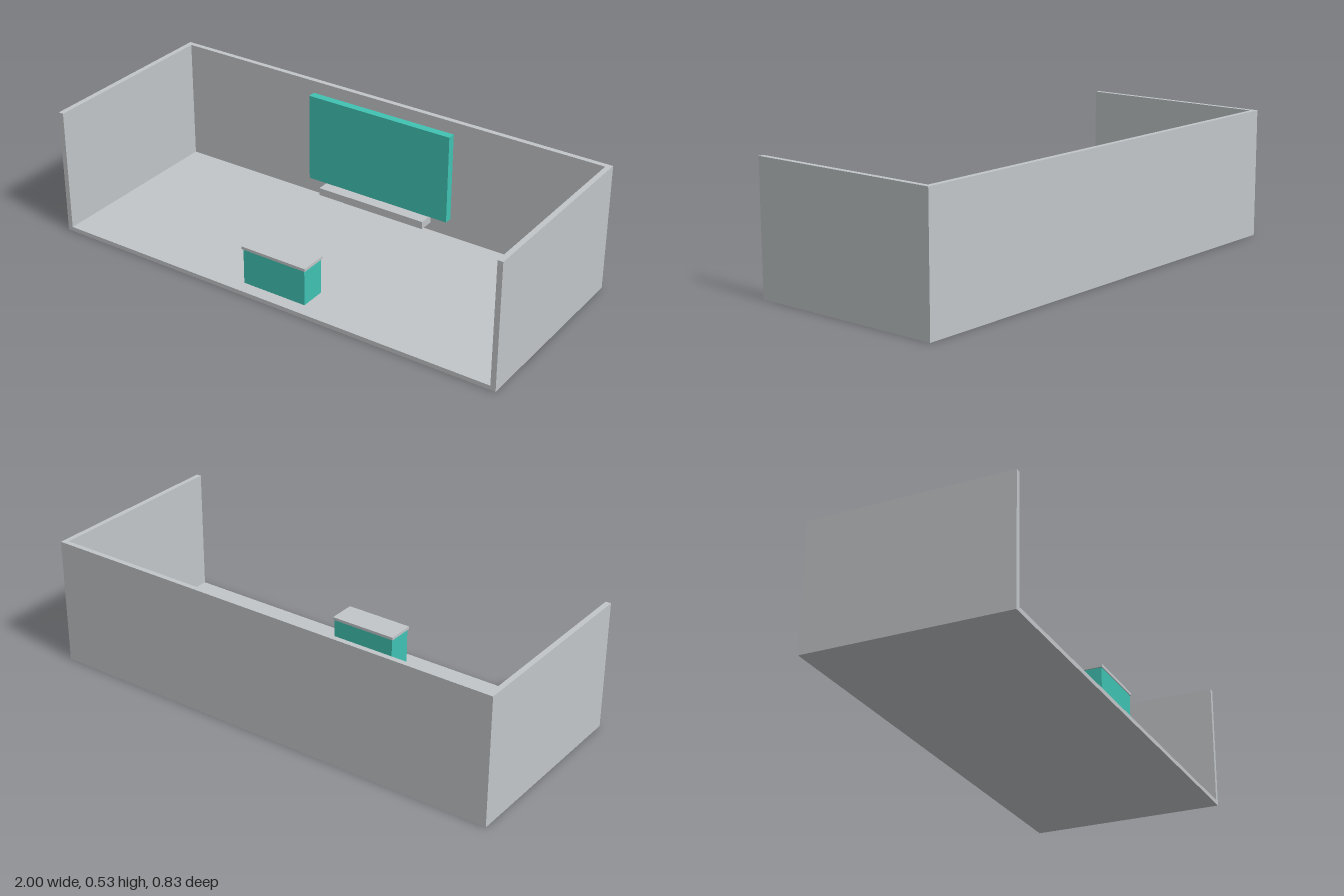
import * as THREE from 'three';

export function createModel() {
  const model = new THREE.Group();
  model.name = 'boothRoom';

  const grey = new THREE.MeshStandardMaterial({ color: 0xc2c6c9 });
  grey.name = 'lightGrey';
  const teal = new THREE.MeshStandardMaterial({ color: 0x40c2b3 });
  teal.name = 'teal';

  // Box given by its lower and upper bounds on each axis
  function box(name, material, [x0, x1], [y0, y1], [z0, z1]) {
    const mesh = new THREE.Mesh(new THREE.BoxGeometry(x1 - x0, y1 - y0, z1 - z0), material);
    mesh.position.set((x0 + x1) / 2, (y0 + y1) / 2, (z0 + z1) / 2);
    mesh.name = name;
    model.add(mesh);
  }

  const halfW = 1, halfD = 0.415, height = 0.533;
  const wall = 0.022, floorTop = 0.018;
  const inner = halfW - wall;

  // Room shell, open at the front and top
  box('floor', grey, [-halfW, halfW], [0, floorTop], [-halfD, halfD]);
  box('backWall', grey, [-inner, inner], [floorTop, height], [-halfD, -halfD + wall]);
  box('leftWall', grey, [inner, halfW], [floorTop, height], [-halfD, halfD]);
  box('rightWall', grey, [-halfW, -inner], [floorTop, height], [-halfD, halfD]);

  // Display panel in front of the back wall, with a shelf below it
  box('displayPanel', teal, [-0.333, 0.333], [0.102, 0.483], [-0.387, -0.353]);
  box('shelf', grey, [-0.25, 0.25], [0.067, 0.1], [-0.372, -0.305]);

  // Counter with a thin, slightly overhanging top
  box('counterBody', teal, [-0.142, 0.142], [floorTop, 0.169], [0.25, 0.36]);
  box('counterTop', grey, [-0.147, 0.147], [0.169, 0.181], [0.246, 0.364]);

  return model;
}
